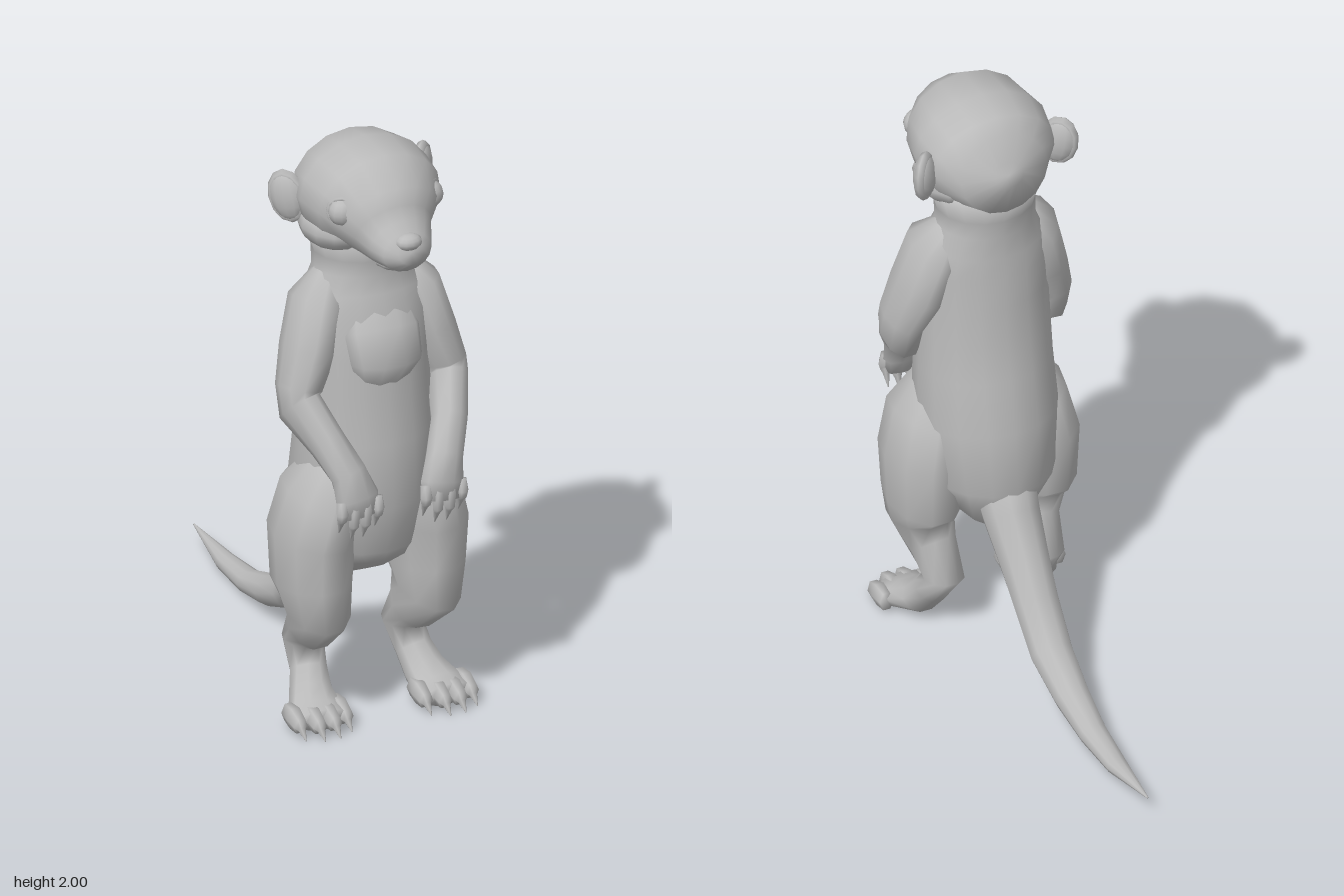
import * as THREE from 'three';

const V = (x, y, z) => new THREE.Vector3(x, y, z);

// Closed skin over elliptical rings: [x, y, z, half width, half depth]
function loft(rings, sides = 12) {
  const c = rings.map((r) => V(r[0], r[1], r[2]));
  const pos = [], idx = [], n = rings.length;
  rings.forEach((r, i) => {
    const t = c[Math.min(i + 1, n - 1)].clone().sub(c[Math.max(i - 1, 0)]).normalize();
    const s = V(1, 0, 0).addScaledVector(t, -t.x).normalize();
    const u = t.clone().cross(s);
    for (let j = 0; j < sides; j++) {
      const a = (j / sides) * Math.PI * 2;
      const p = c[i].clone().addScaledVector(s, Math.cos(a) * r[3]).addScaledVector(u, Math.sin(a) * r[4]);
      pos.push(p.x, p.y, p.z);
    }
  });
  for (let i = 0; i < n - 1; i++) for (let j = 0; j < sides; j++) {
    const k = (j + 1) % sides, a = i * sides, b = a + sides;
    idx.push(a + j, a + k, b + k, a + j, b + k, b + j);
  }
  const first = n * sides, last = (n - 1) * sides;
  pos.push(...c[0].toArray(), ...c[n - 1].toArray());
  for (let j = 0; j < sides; j++) {
    const k = (j + 1) % sides;
    idx.push(first, k, j, first + 1, last + j, last + k);
  }
  const g = new THREE.BufferGeometry();
  g.setAttribute('position', new THREE.Float32BufferAttribute(pos, 3));
  g.setIndex(idx);
  g.computeVertexNormals();
  return g;
}

export function createModel() {
  const model = new THREE.Group();
  const fur = new THREE.MeshStandardMaterial({ color: 0xbababa });
  fur.name = 'greyFur';

  function add(name, geometry, parent = model) {
    const m = new THREE.Mesh(geometry, fur);
    m.name = name;
    parent.add(m);
    return m;
  }
  function ball(name, p, s, parent) {
    const m = add(name, new THREE.SphereGeometry(1, 12, 8), parent);
    m.position.set(...p);
    m.scale.set(...s);
    return m;
  }

  // Trunk, sloping shoulders and neck
  add('body', loft([
    [0, 0.46, 0.44, 0.06, 0.1], [0, 0.5, 0.42, 0.14, 0.19], [0, 0.6, 0.395, 0.21, 0.222],
    [0, 0.8, 0.43, 0.235, 0.24], [0, 1.0, 0.445, 0.225, 0.215], [0, 1.15, 0.445, 0.22, 0.19],
    [0, 1.28, 0.45, 0.215, 0.185], [0, 1.4, 0.445, 0.215, 0.17], [0, 1.48, 0.435, 0.2, 0.155],
    [0, 1.55, 0.43, 0.165, 0.143], [0, 1.61, 0.43, 0.165, 0.15], [0, 1.7, 0.43, 0.19, 0.155],
  ], 16));
  add('chestTuft', loft([
    [0, 1.18, 0.575, 0.08, 0.04], [0, 1.28, 0.615, 0.125, 0.075], [0, 1.37, 0.58, 0.13, 0.06],
    [0, 1.48, 0.53, 0.1, 0.04],
  ], 10));

  // Tail curving down to the ground behind
  add('tail', loft([
    [0, 0.66, 0.34, 0.11, 0.12], [0, 0.5, 0.225, 0.095, 0.1], [0, 0.4, 0.14, 0.085, 0.085],
    [0, 0.28, 0.04, 0.077, 0.066], [0, 0.155, -0.08, 0.072, 0.06], [0, 0.085, -0.24, 0.06, 0.052],
    [0, 0.045, -0.4, 0.048, 0.038], [0, 0.038, -0.58, 0.036, 0.028], [0, 0.065, -0.815, 0.003, 0.003],
  ], 10));

  // Head with tapering muzzle, rings running from back to front
  const head = new THREE.Group();
  head.name = 'head';
  model.add(head);
  add('skullAndMuzzle', loft([
    [0, 1.82, 0.24, 0.05, 0.04], [0, 1.8, 0.28, 0.15, 0.14], [0, 1.805, 0.36, 0.215, 0.175],
    [0, 1.82, 0.46, 0.232, 0.18], [0, 1.815, 0.56, 0.215, 0.18], [0, 1.785, 0.62, 0.175, 0.155],
    [0, 1.755, 0.66, 0.135, 0.12], [0, 1.735, 0.72, 0.11, 0.09], [0, 1.725, 0.77, 0.085, 0.068],
    [0, 1.735, 0.8, 0.045, 0.04],
  ], 16), head);
  ball('nose', [0, 1.765, 0.78], [0.045, 0.028, 0.035], head);
  ball('lowerJaw', [0, 1.675, 0.7], [0.08, 0.033, 0.07], head);

  for (const side of [1, -1]) {
    const label = side > 0 ? 'left' : 'right';
    const mirror = (rings) => rings.map(([x, ...rest]) => [x * side, ...rest]);

    // Eye with lid rim, cheek and broad ear
    ball(label + 'Eye', [0.15 * side, 1.83, 0.61], [0.05, 0.048, 0.045], head);
    const lid = add(label + 'Eyelid', new THREE.TorusGeometry(0.048, 0.01, 6, 12), head);
    lid.position.set(0.155 * side, 1.83, 0.618);
    lid.rotation.y = 0.75 * side;
    ball(label + 'Cheek', [0.11 * side, 1.72, 0.46], [0.115, 0.08, 0.14], head);
    const ear = new THREE.Group();
    ear.name = label + 'Ear';
    ear.position.set(0.235 * side, 1.8, 0.375);
    ear.rotation.set(0, side * 0.8, -side * 0.2);
    head.add(ear);
    ball('earShell', [0, 0, 0], [0.06, 0.085, 0.035], ear);
    const rim = add('earRim', new THREE.TorusGeometry(0.057, 0.018, 6, 12), ear);
    rim.scale.set(0.9, 1.25, 1);

    // Arm, bent at a pointed elbow with the hand hanging over the belly
    const arm = new THREE.Group();
    arm.name = label + 'Arm';
    model.add(arm);
    add('armAndHand', loft(mirror([
      [0.12, 1.53, 0.43, 0.05, 0.06], [0.17, 1.45, 0.45, 0.085, 0.12], [0.212, 1.3, 0.475, 0.085, 0.12],
      [0.255, 1.18, 0.5, 0.07, 0.1], [0.258, 1.12, 0.515, 0.066, 0.105], [0.215, 1.03, 0.63, 0.06, 0.068],
      [0.17, 0.94, 0.69, 0.062, 0.058], [0.15, 0.86, 0.715, 0.075, 0.042], [0.145, 0.8, 0.72, 0.07, 0.028],
    ]), 10), arm);
    for (let i = 0; i < 4; i++) {
      const x = 0.085 + i * 0.042, drop = i === 0 || i === 3 ? 0.03 : 0;
      add('fingerAndClaw', loft(mirror([
        [x, 0.86, 0.725, 0.018, 0.02], [x, 0.82, 0.735, 0.021, 0.022], [x, 0.775 + drop, 0.73, 0.018, 0.02],
        [x, 0.76 + drop, 0.722, 0.012, 0.013], [x, 0.715 + drop, 0.705, 0.002, 0.002],
      ]), 6), arm);
    }

    // Leg: thigh blending into the hip, forward knee, raised heel and flat foot
    const leg = new THREE.Group();
    leg.name = label + 'Leg';
    model.add(leg);
    add('legAndFoot', loft(mirror([
      [0.12, 0.9, 0.5, 0.08, 0.11], [0.175, 0.78, 0.49, 0.12, 0.18], [0.2, 0.65, 0.475, 0.13, 0.185],
      [0.2, 0.48, 0.475, 0.12, 0.175], [0.195, 0.39, 0.5, 0.1, 0.155], [0.18, 0.3, 0.435, 0.077, 0.095],
      [0.175, 0.22, 0.362, 0.068, 0.07], [0.185, 0.14, 0.425, 0.063, 0.055], [0.2, 0.08, 0.475, 0.073, 0.058],
      [0.215, 0.048, 0.55, 0.095, 0.047], [0.22, 0.042, 0.61, 0.093, 0.038],
    ]), 10), leg);
    for (let i = 0; i < 4; i++) {
      const x = 0.14 + i * 0.054, back = i === 0 || i === 3 ? -0.03 : 0;
      add('toeAndClaw', loft(mirror([
        [x, 0.05, 0.55 + back, 0.024, 0.035], [x, 0.048, 0.6 + back, 0.029, 0.042],
        [x, 0.038, 0.645 + back, 0.024, 0.032], [x, 0.03, 0.655 + back, 0.013, 0.015],
        [x, 0.004, 0.685 + back, 0.002, 0.002],
      ]), 6), leg);
    }
  }
  return model;
}
